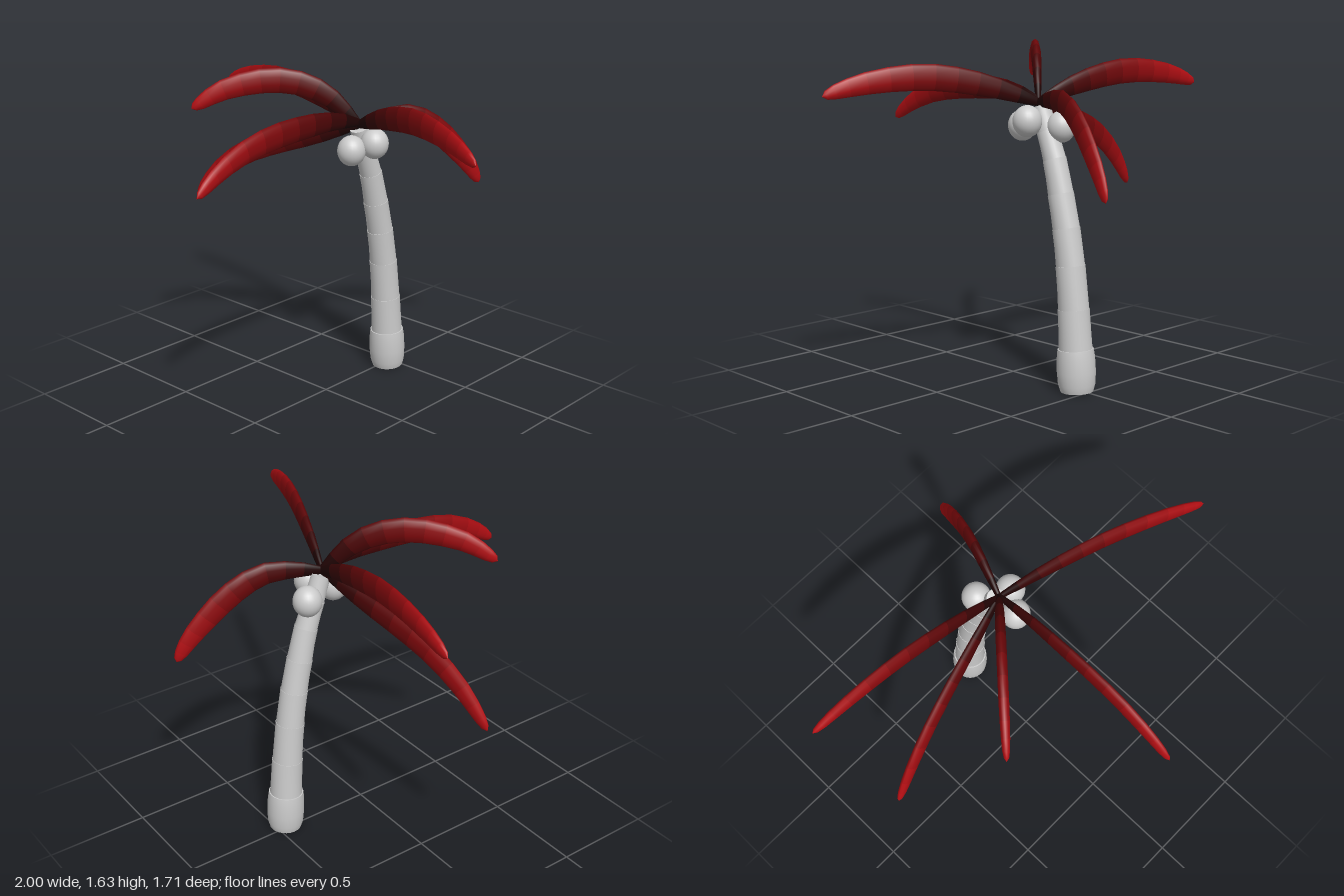
import * as THREE from 'three';

const grey = new THREE.MeshStandardMaterial({ color: 0xcccccc });
const UP = new THREE.Vector3(0, 1, 0);

// Sweeps an ellipse along a planar curve. side is the normal of the curve's plane.
// Each station is [u, radius in the plane, radius across it]; one group per band.
function sweep(curve, side, stations, sides) {
  const pos = [], idx = [], geo = new THREE.BufferGeometry();
  for (const [u, a, b] of stations) {
    const c = curve.getPointAt(u);
    const n = new THREE.Vector3().crossVectors(side, curve.getTangentAt(u));
    for (let j = 0; j < sides; j++) {
      const t = (j / sides) * Math.PI * 2;
      const p = c.clone().addScaledVector(n, a * Math.cos(t)).addScaledVector(side, b * Math.sin(t));
      pos.push(p.x, p.y, p.z);
    }
  }
  for (let i = 0; i < stations.length - 1; i++) {
    geo.addGroup(idx.length, sides * 6, i);
    for (let j = 0; j < sides; j++) {
      const k = (j + 1) % sides, p = i * sides, q = p + sides;
      idx.push(p + j, p + k, q + j, p + k, q + k, q + j);
    }
  }
  geo.setAttribute('position', new THREE.Float32BufferAttribute(pos, 3));
  geo.setIndex(idx);
  geo.computeVertexNormals();
  return geo;
}

// Frond thickness from root to tip: [u, half height, half width]
const frondStations = [
  [0, 0, 0], [0.005, 0.02, 0.012], [0.1, 0.036, 0.017], [0.2, 0.047, 0.021], [0.3, 0.055, 0.023],
  [0.4, 0.059, 0.024], [0.5, 0.061, 0.024], [0.6, 0.06, 0.024], [0.7, 0.056, 0.024], [0.8, 0.05, 0.023],
  [0.88, 0.042, 0.021], [0.94, 0.033, 0.018], [0.98, 0.021, 0.012], [1, 0, 0],
];

// Fronds darken towards the root
const frondMaterials = frondStations.slice(1).map(([u]) => new THREE.MeshStandardMaterial({
  color: new THREE.Color(0x080303).lerp(new THREE.Color(0xb80f14), Math.pow(u, 1.6)),
}));

// Each frond: tip x, tip z, and its arc as [fraction of reach, height]
const sideArc = [[0, 1.35], [0.2, 1.42], [0.4, 1.465], [0.55, 1.48], [0.75, 1.467], [0.9, 1.437], [1, 1.405]];
const fronds = [
  ['leftFrond', 1, 0.165, sideArc],
  ['rightFrond', -1, -0.31, sideArc],
  ['lowRightFrond', -0.885, 0.035,
    [[0, 1.35], [0.25, 1.275], [0.46, 1.215], [0.66, 1.14], [0.82, 1.04], [0.92, 0.95], [1, 0.86]]],
  ['highFrontRightFrond', -0.515, 0.385,
    [[0, 1.35], [0.1, 1.43], [0.2, 1.5], [0.35, 1.555], [0.5, 1.573], [0.65, 1.562], [0.82, 1.525], [1, 1.44]]],
  ['frontFrond', 0.035, 0.85,
    [[0, 1.36], [0.17, 1.397], [0.4, 1.405], [0.6, 1.39], [0.75, 1.355], [0.9, 1.285], [1, 1.215]]],
  ['backFrond', 0.28, -0.85,
    [[0, 1.35], [0.2, 1.37], [0.4, 1.365], [0.6, 1.29], [0.8, 1.16], [0.92, 1.06], [1, 0.97]]],
];

function makeFrond([name, tx, tz, arc]) {
  const x0 = 0.03, z0 = -0.2;
  const dir = new THREE.Vector3(tx - x0, 0, tz - z0).normalize();
  const side = new THREE.Vector3().crossVectors(dir, UP);
  const curve = new THREE.CatmullRomCurve3(arc.map(([f, y]) =>
    new THREE.Vector3(x0 + (tx - x0) * f, y, z0 + (tz - z0) * f)));
  const mesh = new THREE.Mesh(sweep(curve, side, frondStations, 10), frondMaterials);
  mesh.name = name;
  return mesh;
}

// Leaning trunk of stacked segments, each stepping in a little from the one below
function makeTrunk() {
  const trunk = new THREE.Group();
  trunk.name = 'trunk';
  const axis = new THREE.CatmullRomCurve3([
    [0.008, -0.452], [0.2, -0.442], [0.4, -0.427], [0.6, -0.405], [0.77, -0.377],
    [0.92, -0.343], [1.08, -0.302], [1.2, -0.258], [1.33, -0.21],
  ].map(([y, z]) => new THREE.Vector3(0.022, y, z)));
  const side = new THREE.Vector3(1, 0, 0);
  const add = (name, rings) => {
    const first = rings[0], last = rings[rings.length - 1];
    // doubled end rings keep the cap edges sharp
    const stations = [[first[0], 0], first, first, ...rings.slice(1), last, [last[0], 0]];
    const geo = sweep(axis, side, stations.map(([u, r]) => [u, r, r]), 24);
    geo.clearGroups();
    const mesh = new THREE.Mesh(geo, grey);
    mesh.name = name;
    trunk.add(mesh);
  };
  add('trunkBase', [[0, 0.078], [0.025, 0.088], [0.07, 0.092], [0.12, 0.09], [0.15, 0.085]]);
  const joints = [0.14, 0.29, 0.44, 0.57, 0.69, 0.81, 0.91, 1];
  const radii = [0.081, 0.074, 0.069, 0.065, 0.061, 0.055, 0.05, 0.044];
  for (let i = 0; i < joints.length - 1; i++) {
    const u = joints[i], v = joints[i + 1];
    add('trunkSegment' + (i + 1), [0, 0.5, 1].map((t) =>
      [u + (v - u) * t, radii[i] + (radii[i + 1] - radii[i]) * t + (t === 1 ? 0.001 : -0.001)]));
  }
  return trunk;
}

export function createModel() {
  const palm = new THREE.Group();
  palm.name = 'palmTree';
  palm.add(makeTrunk());

  // Crown of fronds
  const crown = new THREE.Group();
  crown.name = 'crown';
  fronds.forEach((f) => crown.add(makeFrond(f)));
  palm.add(crown);

  // Coconuts hanging under the crown
  const nut = new THREE.SphereGeometry(0.069, 24, 16);
  [[-0.01, 1.24, -0.31], [0.118, 1.268, -0.215], [0.055, 1.24, -0.12]].forEach(([x, y, z], i) => {
    const mesh = new THREE.Mesh(nut, grey);
    mesh.name = 'coconut' + (i + 1);
    mesh.position.set(x, y, z);
    mesh.scale.y = 1.08;
    palm.add(mesh);
  });
  return palm;
}
